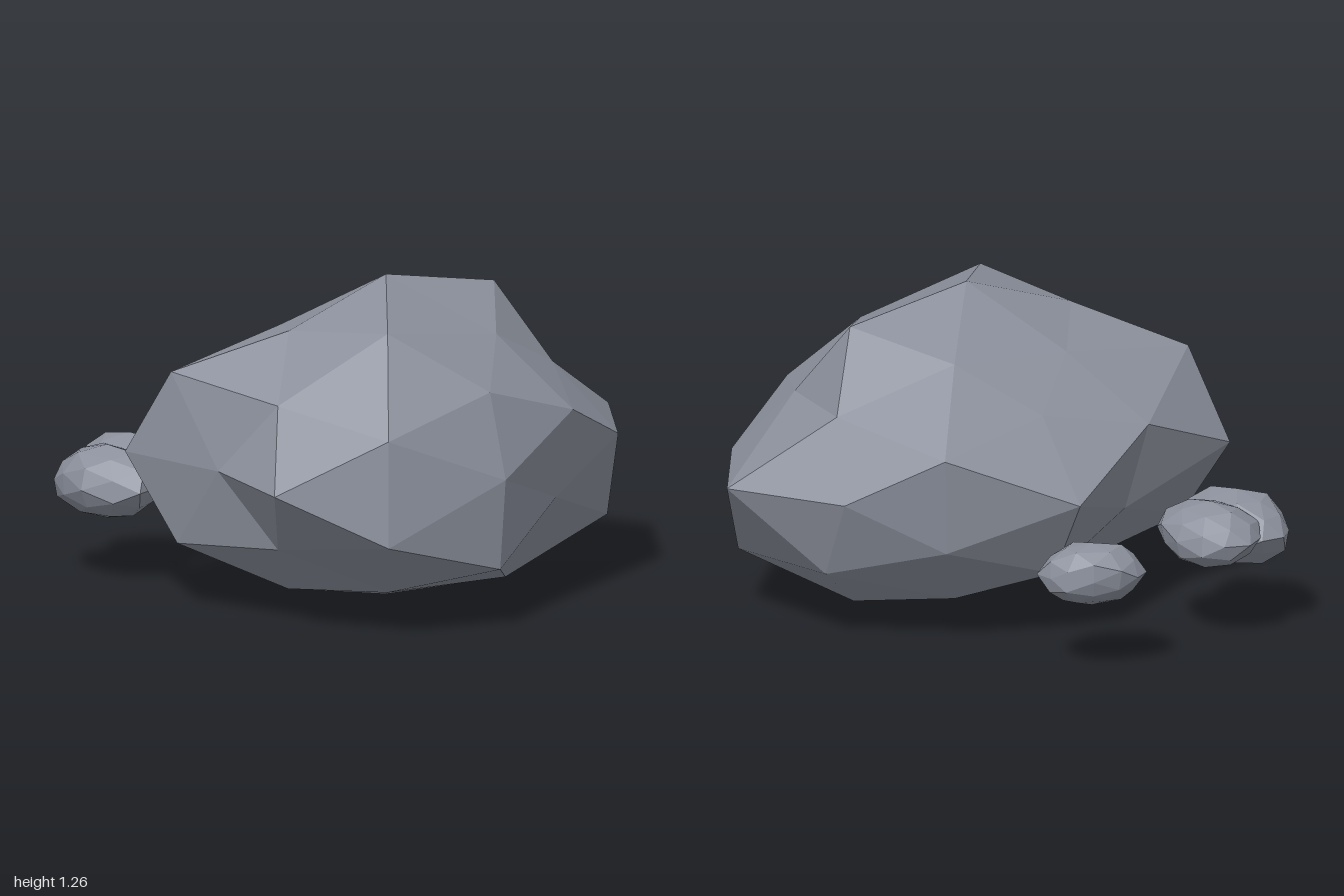
import * as THREE from 'three';

const stone = new THREE.MeshStandardMaterial({ color: 0x8b909c, flatShading: true });
stone.name = 'grey stone';

// Faceted stone: an icosphere whose corners are pushed in or out, then stretched
function makeRock(name, radius, size, yaw, position) {
  const geo = new THREE.IcosahedronGeometry(1, 1);
  const p = geo.attributes.position;
  const v = new THREE.Vector3();
  for (let i = 0; i < p.count; i++) {
    v.fromBufferAttribute(p, i).normalize();
    v.multiplyScalar(radius(v));
    p.setXYZ(i, v.x, v.y, v.z);
  }
  geo.scale(...size);
  geo.rotateY(yaw);
  geo.computeVertexNormals();
  const mesh = new THREE.Mesh(geo, stone);
  mesh.name = name;
  mesh.position.set(...position);
  return mesh;
}

// Corner radii of the boulder, grouped by corner family (direction digits),
// one per sign combination of the non-zero axes
const boulderRadii = {
  '1000': [0.8, 1.06],
  '0100': [0.98, 0.89],
  '0010': [0.9, 1.015],
  '905': [1.027, 1.05, 0.935, 0.915],
  '590': [0.88, 0.89, 0.98, 0.95],
  '059': [0.92, 0.8, 1.01, 0.92],
  '853': [0.84, 1.02, 0.84, 0.99, 0.79, 0.875, 1.05, 0.95],
  '385': [1.02, 0.795, 0.88, 0.8, 0.84, 0.87, 0.91, 0.86],
  '538': [0.945, 0.895, 1.01, 0.78, 0.88, 0.96, 0.8, 0.9],
};

function boulderRadius(v) {
  const dir = [v.x, v.y, -v.z];
  const key = dir.map((c) => Math.round(Math.abs(c) * 10)).join('');
  let index = 0;
  for (const c of dir) if (Math.abs(c) > 0.01) index = index * 2 + (c < 0 ? 1 : 0);
  return boulderRadii[key][index];
}

// Repeatable roughness for the small stones
const rough = (seed, amount) => (v) => {
  const k = Math.round(v.x * 10) * 12.99 + Math.round(v.y * 10) * 78.23 + Math.round(v.z * 10) * 37.72;
  const h = Math.sin(k + seed) * 43758.55;
  return 1 + amount * (h - Math.floor(h) - 0.6);
};

export function createModel() {
  const group = new THREE.Group();
  group.name = 'rocks';

  group.add(makeRock('boulder', boulderRadius, [1, 0.675, 0.855], -1.651, [0.225, 0.6, 0.07]));

  // Cracked stone made of two merged lumps
  const cracked = new THREE.Group();
  cracked.name = 'crackedStone';
  cracked.add(
    makeRock('backLump', rough(1, 0.12), [0.22, 0.125, 0.18], 0.15, [-0.72, 0.415, 0.55]),
    makeRock('frontLump', rough(5, 0.16), [0.24, 0.145, 0.17], 0.25, [-0.64, 0.39, 0.73])
  );
  group.add(cracked);

  // Small oval stone
  group.add(makeRock('smallStone', rough(3, 0.14), [0.205, 0.125, 0.135], 1.03, [-0.82, 0.395, -0.07]));

  return group;
}
